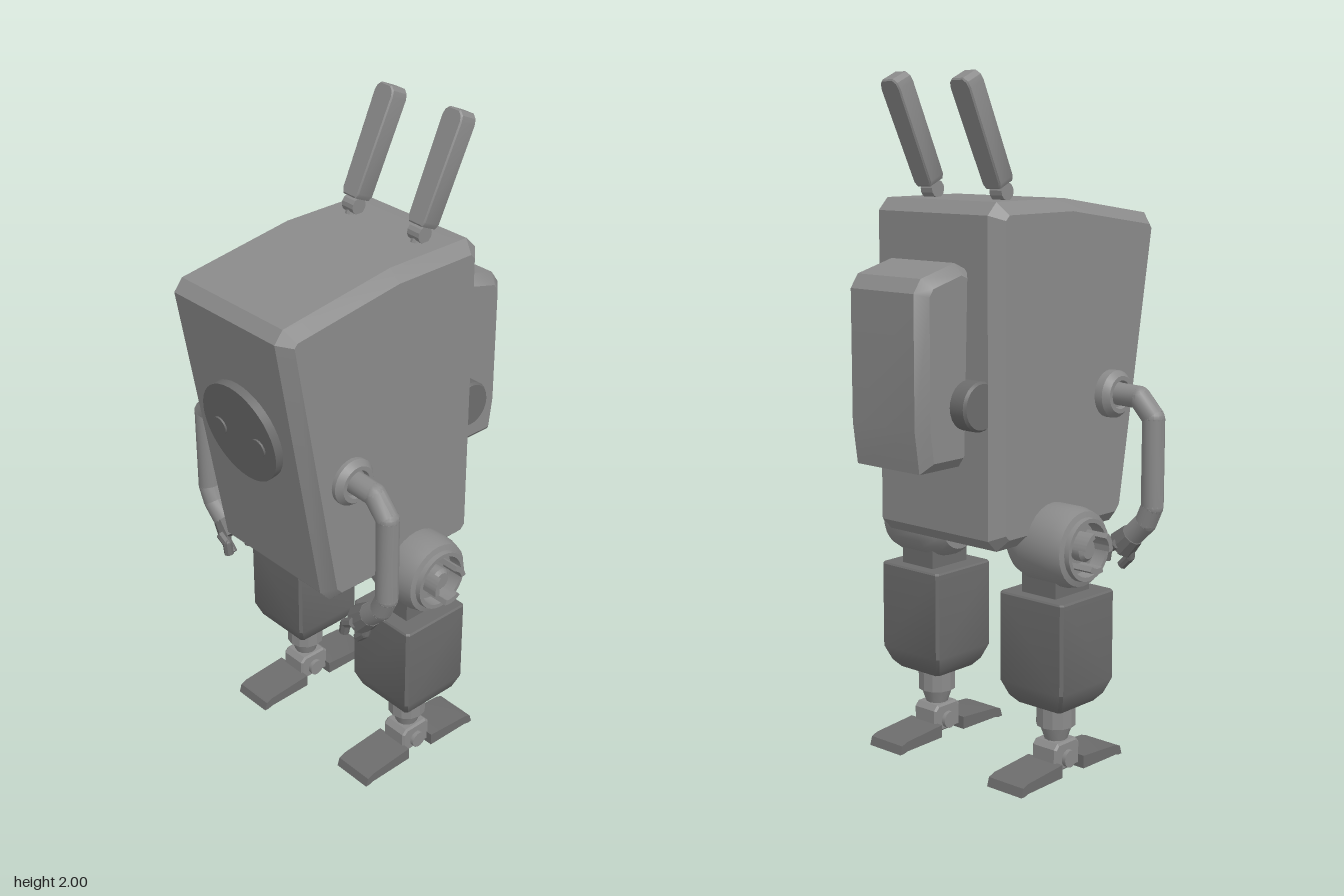
import * as THREE from 'three';
import { toCreasedNormals } from 'three/addons/utils/BufferGeometryUtils.js';

const grey = new THREE.MeshStandardMaterial({ color: 0x8a8a8a });
const dark = new THREE.MeshStandardMaterial({ color: 0x6c6c6c });
const V = (x, y, z) => new THREE.Vector3(x, y, z);

function part(name, geo, parent, x = 0, y = 0, z = 0, material = grey) {
  const m = new THREE.Mesh(toCreasedNormals(geo, 0.5), material);
  m.name = name;
  m.position.set(x, y, z);
  parent.add(m);
  return m;
}

// Side outline of [z, y] points, extruded across x with chamfered edges
function slab(points, width, bevel) {
  const shape = new THREE.Shape(points.map(([z, y]) => new THREE.Vector2(z, y)));
  const depth = width - 2 * bevel;
  const geo = new THREE.ExtrudeGeometry(shape, {
    depth, bevelEnabled: bevel > 0, bevelThickness: bevel,
    bevelSize: bevel, bevelOffset: -bevel, bevelSegments: 1,
  });
  return geo.translate(0, 0, -depth / 2).rotateY(-Math.PI / 2);
}

// Turned profile of [radius, x] points around the x axis
function turned(points, segments = 24) {
  const geo = new THREE.LatheGeometry(points.map(([r, x]) => new THREE.Vector2(r, x)), segments);
  return geo.rotateZ(-Math.PI / 2);
}

// Stack of [y, halfSize] square sections with cut corners, closed at both ends
function squareLoft(sections, cut) {
  const pos = [], index = [], n = 8, last = sections.length - 1;
  for (const [y, h] of sections) {
    const c = h - cut;
    for (const [x, z] of [[h, c], [h, -c], [c, -h], [-c, -h], [-h, -c], [-h, c], [-c, h], [c, h]]) pos.push(x, y, z);
  }
  for (let s = 0; s < last; s++) {
    for (let i = 0; i < n; i++) {
      const a = s * n + i, b = s * n + (i + 1) % n;
      index.push(a, b, b + n, a, b + n, a + n);
    }
  }
  for (let i = 1; i < n - 1; i++) {
    index.push(0, i + 1, i, last * n, last * n + i, last * n + i + 1);
  }
  const geo = new THREE.BufferGeometry();
  geo.setAttribute('position', new THREE.Float32BufferAttribute(pos, 3));
  geo.setIndex(index);
  return geo;
}

// Round rod through a chain of points, with ball joints at the bends
function rod(name, points, radius, parent, segments = 14, material = grey) {
  points.forEach((p, i) => {
    if (i) {
      const d = p.clone().sub(points[i - 1]);
      const m = part(name, new THREE.CylinderGeometry(radius, radius, d.length(), segments), parent, 0, 0, 0, material);
      m.position.copy(p).addScaledVector(d, -0.5);
      m.quaternion.setFromUnitVectors(V(0, 1, 0), d.normalize());
    }
    if (i && i < points.length - 1) {
      part(name + 'Joint', new THREE.SphereGeometry(radius, segments, 10), parent, p.x, p.y, p.z, material);
    }
  });
}

function buildArm() {
  const arm = new THREE.Group();
  // Shoulder socket
  part('shoulderSocket', turned([[0, 0.2], [0.07, 0.2], [0.07, 0.262], [0.055, 0.28], [0.042, 0.28], [0.038, 0.265], [0, 0.265]]), arm, 0, 1.085, 0.23);
  rod('armTube', [V(0.24, 1.088, 0.23), V(0.345, 1.085, 0.23), V(0.397, 1.03, 0.23), V(0.397, 0.77, 0.23),
    V(0.375, 0.72, 0.23), V(0.325, 0.672, 0.23)], 0.033, arm);
  // Hand with two fingers and a thumb
  const palm = part('palm', new THREE.CylinderGeometry(0.036, 0.045, 0.055, 10), arm, 0.31, 0.657, 0.228, dark);
  palm.rotation.z = -0.8;
  for (const z of [0.188, 0.268]) {
    rod('finger', [V(0.3, 0.65, z), V(0.268, 0.632, z), V(0.262, 0.597, z)], 0.015, arm, 8, dark);
  }
  rod('thumb', [V(0.32, 0.64, 0.23), V(0.315, 0.605, 0.235), V(0.285, 0.575, 0.235)], 0.015, arm, 8, dark);
  return arm;
}

function buildLeg() {
  const leg = new THREE.Group(), x = 0.24, z = -0.016;
  // Hip barrel with a recessed hub
  part('hipBarrel', turned([[0, 0.125], [0.08, 0.125], [0.1, 0.15], [0.117, 0.2], [0.117, 0.31], [0.108, 0.345],
    [0.092, 0.35], [0.09, 0.365], [0.078, 0.365], [0.075, 0.325], [0, 0.325]], 28), leg, 0, 0.685, -0.025);
  part('hub', turned([[0, 0.31], [0.035, 0.31], [0.035, 0.355], [0.025, 0.365], [0, 0.365]], 16), leg, 0, 0.685, -0.025);
  // Curved prongs around the hub
  for (let i = 0; i < 3; i++) {
    const prong = new THREE.Shape();
    const a = i * Math.PI * 2 / 3 + 0.2;
    prong.absarc(0, 0, 0.062, a, a + 1, false);
    prong.absarc(0, 0, 0.046, a + 1, a, true);
    const geo = new THREE.ExtrudeGeometry(prong, { depth: 0.085, bevelEnabled: false, curveSegments: 6 });
    part('hubProng', geo.rotateY(Math.PI / 2), leg, 0.315, 0.685, -0.025);
  }
  part('thighNeck', new THREE.BoxGeometry(0.125, 0.11, 0.15), leg, x, 0.59, z - 0.005, dark);
  part('thigh', squareLoft([[0.212, 0.08], [0.235, 0.1], [0.28, 0.118], [0.54, 0.118], [0.545, 0.114]], 0.008), leg, x, 0, z, dark);
  // Ankle
  part('shin', new THREE.CylinderGeometry(0.058, 0.058, 0.075, 12), leg, x, 0.18, z);
  part('shinTaper', new THREE.CylinderGeometry(0.052, 0.033, 0.055, 12), leg, x, 0.125, z);
  part('ankleBlock', slab([[-0.055, 0.015], [0.055, 0.015], [0.055, 0.085], [0.04, 0.1], [-0.04, 0.1], [-0.055, 0.085]], 0.09, 0.006), leg, x, 0, z);
  part('anklePin', new THREE.CylinderGeometry(0.026, 0.026, 0.115, 14).rotateZ(Math.PI / 2), leg, x, 0.048, z);
  // Toe and heel plates
  const plate = [[0.05, 0.006], [0.2, 0.004], [0.215, 0], [0.23, 0], [0.222, 0.026], [0.2, 0.034], [0.05, 0.045]];
  part('toePlate', slab(plate, 0.13, 0), leg, x, 0, z, dark);
  part('heelPlate', slab(plate, 0.13, 0), leg, x, 0, z + 0.004, dark).rotation.y = Math.PI;
  return leg;
}

export function createModel() {
  const model = new THREE.Group();
  model.name = 'robot';

  // Body
  part('body', slab([[0.28, 0.69], [0.315, 0.73], [0.458, 1.565], [0.43, 1.6], [0.06, 1.655],
    [-0.225, 1.655], [-0.26, 1.62], [-0.26, 0.725], [-0.225, 0.69]], 0.485, 0.035), model, 0.007);

  // Face disc with two studs, tilted to match the front
  const face = new THREE.Group();
  face.name = 'face';
  face.position.set(0.01, 1.21, 0.4);
  face.rotation.x = 0.17;
  part('faceDisc', new THREE.CylinderGeometry(0.152, 0.152, 0.045, 40).rotateX(Math.PI / 2), face, 0, 0, 0, dark);
  for (const s of [-1, 1]) {
    part('faceStud', new THREE.CylinderGeometry(0.027, 0.027, 0.01, 16).rotateX(Math.PI / 2), face, s * 0.082, -0.01, 0.023, dark);
  }
  model.add(face);

  // Ears with rounded tips on small ball stems
  for (const s of [-1, 1]) {
    const ear = new THREE.Group();
    ear.name = s > 0 ? 'leftEar' : 'rightEar';
    ear.position.set(0.006 + s * 0.132, 1.65, -0.108);
    ear.rotation.set(-0.42, 0, -0.025);
    part('earStem', new THREE.CylinderGeometry(0.016, 0.016, 0.07, 10), ear, 0, 0.02, 0);
    part('earJoint', new THREE.CylinderGeometry(0.025, 0.025, 0.045, 12).rotateZ(Math.PI / 2), ear, 0, 0.03, 0);
    const outline = new THREE.Shape([[-0.025, 0.05], [0.025, 0.05], [0.033, 0.065], [0.037, 0.345], [0.033, 0.362], [0.02, 0.374],
      [-0.02, 0.374], [-0.033, 0.362], [-0.037, 0.345], [-0.033, 0.065]].map(([x, y]) => new THREE.Vector2(x, y)));
    part('earBlade', new THREE.ExtrudeGeometry(outline, { depth: 0.054, bevelThickness: 0.004,
      bevelSize: 0.004, bevelOffset: -0.004, bevelSegments: 1 }), ear, 0, 0, -0.027);
    model.add(ear);
  }

  // Backpack and its cross cylinder
  part('backpack', slab([[-0.265, 0.955], [-0.25, 1.47], [-0.3, 1.492], [-0.43, 1.458], [-0.457, 1.42],
    [-0.457, 1.05], [-0.44, 0.93], [-0.285, 0.93]], 0.3, 0.03), model, 0.005);
  part('backCylinder', turned([[0, -0.203], [0.064, -0.203], [0.07, -0.195], [0.07, 0.195], [0.064, 0.203], [0, 0.203]]),
    model, 0.002, 1.105, -0.282, dark);

  // Limbs, mirrored left and right
  for (const s of [1, -1]) {
    const side = s > 0 ? 'left' : 'right';
    const arm = buildArm(), leg = buildLeg();
    arm.name = side + 'Arm';
    leg.name = side + 'Leg';
    arm.scale.x = leg.scale.x = s;
    leg.position.x = -0.005;
    model.add(arm, leg);
  }
  return model;
}
